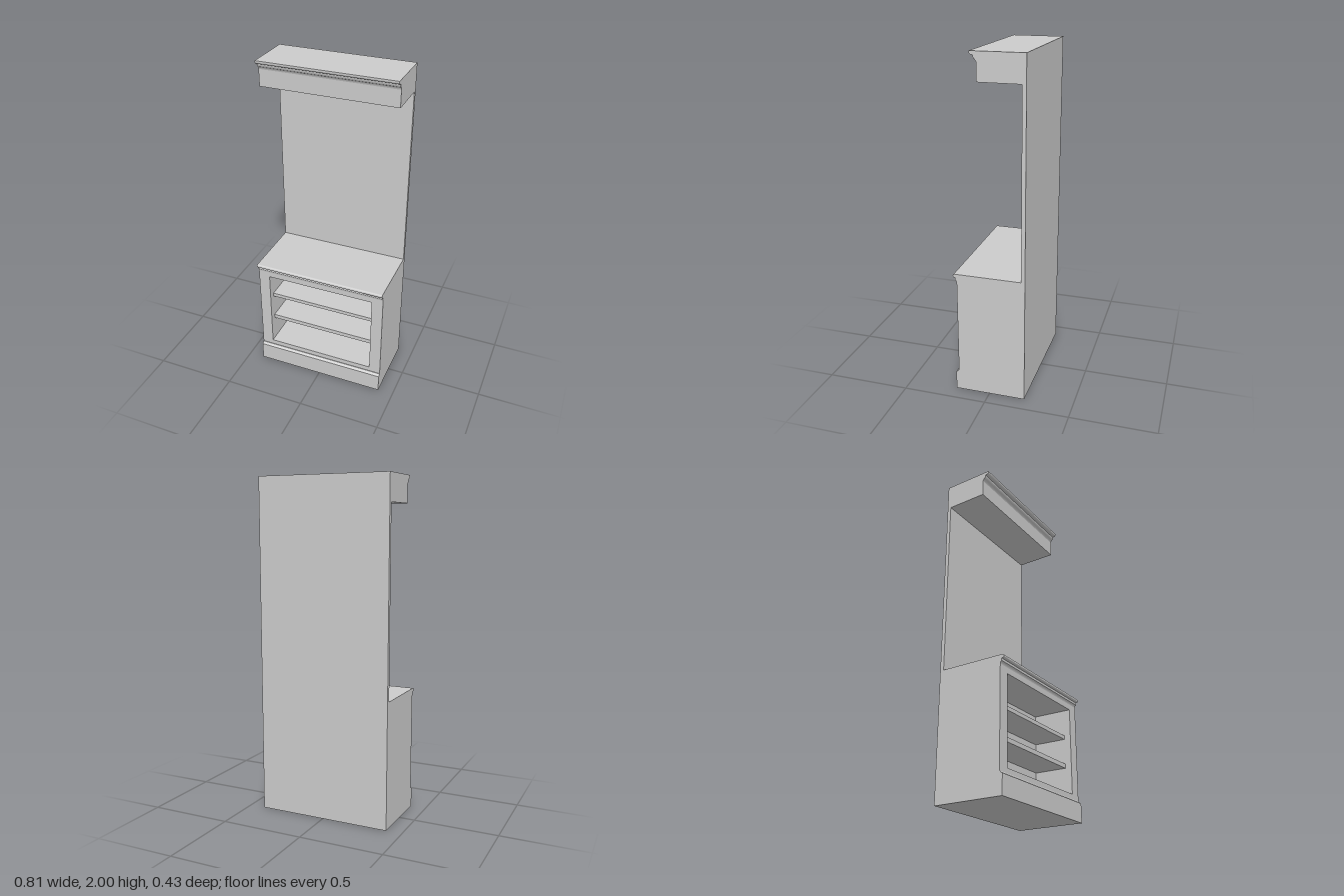
import * as THREE from 'three';

const W = 0.81;        // overall width
const BACK = -0.213;   // rear plane
const FACE = 0.19;     // cabinet face plane
const INNER = -0.05;   // back wall of the shelf recess

export function createModel() {
  const group = new THREE.Group();
  const material = new THREE.MeshStandardMaterial({ color: 0xcccccc });

  const add = (name, geometry) => {
    const mesh = new THREE.Mesh(geometry, material);
    mesh.name = name;
    group.add(mesh);
  };

  // Block from its lower and upper corners
  const block = (name, [x0, y0, z0], [x1, y1, z1]) => add(name,
    new THREE.BoxGeometry(x1 - x0, y1 - y0, z1 - z0)
      .translate((x0 + x1) / 2, (y0 + y1) / 2, (z0 + z1) / 2));

  // Side profile in (z, y) swept across the full width
  const sweep = (name, shape) => add(name,
    new THREE.ExtrudeGeometry(shape, { depth: W, bevelEnabled: false, curveSegments: 8 })
      .rotateY(-Math.PI / 2).translate(W / 2, 0, 0));

  // Tall back panel
  block('backPanel', [-W / 2, 0, BACK], [W / 2, 2, -0.19]);

  // Cabinet carcass with the shelf opening
  const carcass = new THREE.Shape([[-W / 2, 0], [W / 2, 0], [W / 2, 0.75], [-W / 2, 0.75]]
    .map(p => new THREE.Vector2(...p)));
  carcass.holes.push(new THREE.Path([[-0.335, 0.155], [-0.335, 0.665], [0.335, 0.665], [0.335, 0.155]]
    .map(p => new THREE.Vector2(...p))));
  add('cabinetCarcass', new THREE.ExtrudeGeometry(carcass, { depth: FACE - INNER, bevelEnabled: false })
    .translate(0, 0, INNER));
  block('cabinetBack', [-W / 2, 0, -0.19], [W / 2, 0.75, INNER]);

  // Shelves, set slightly behind the face
  for (const [y0, y1] of [[0.312, 0.338], [0.487, 0.51]]) {
    block('shelf', [-0.335, y0, INNER], [0.335, y1, 0.15]);
  }

  // Plinth with a sloped top edge
  const plinth = new THREE.Shape();
  plinth.moveTo(FACE, 0);
  plinth.lineTo(0.207, 0);
  plinth.lineTo(0.207, 0.112);
  plinth.quadraticCurveTo(0.198, 0.115, 0.193, 0.125);
  plinth.lineTo(FACE, 0.125);
  sweep('plinth', plinth);

  // Countertop edge: cove, fillet and rounded nose
  const counter = new THREE.Shape();
  counter.moveTo(FACE, 0.698);
  counter.quadraticCurveTo(0.192, 0.71, 0.199, 0.714);
  counter.lineTo(0.199, 0.728);
  counter.lineTo(0.207, 0.73);
  counter.quadraticCurveTo(0.213, 0.732, 0.213, 0.739);
  counter.quadraticCurveTo(0.213, 0.748, 0.204, 0.75);
  counter.lineTo(FACE, 0.75);
  sweep('counterMoulding', counter);

  // Overhead canopy with crown moulding
  const crown = new THREE.Shape();
  crown.moveTo(-0.19, 1.843);
  crown.lineTo(0.053, 1.843);
  crown.lineTo(0.053, 1.942);
  crown.quadraticCurveTo(0.056, 1.955, 0.065, 1.96);
  crown.quadraticCurveTo(0.071, 1.968, 0.071, 1.979);
  crown.lineTo(0.082, 1.981);
  crown.quadraticCurveTo(0.09, 1.983, 0.092, 1.992);
  crown.lineTo(0.092, 2);
  crown.lineTo(-0.19, 2);
  sweep('canopy', crown);

  return group;
}
